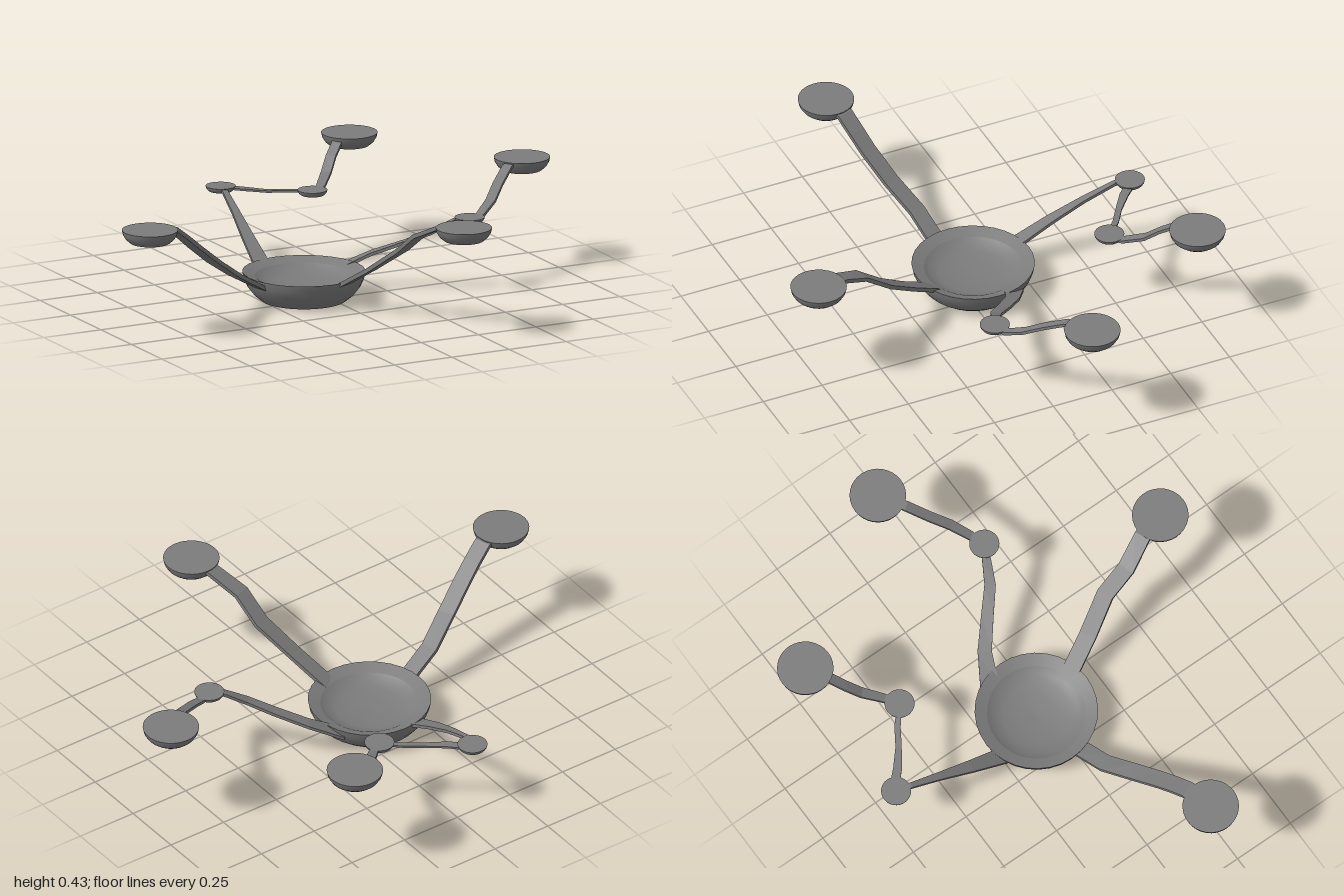
import * as THREE from 'three';

const COLOR = 0x7c7c7c;
const material = new THREE.MeshStandardMaterial({ color: COLOR, side: THREE.DoubleSide });
const flatMaterial = new THREE.MeshStandardMaterial({ color: COLOR, side: THREE.DoubleSide, flatShading: true });

function lathe(name, profile, sides) {
  const points = profile.map(([r, y]) => new THREE.Vector2(r, y));
  const mesh = new THREE.Mesh(new THREE.LatheGeometry(points, sides), material);
  mesh.name = name;
  return mesh;
}

// Shallow cup: curved wall, open underneath, closed by a flat lid
function cup(name, x, z, top, radius, base, height) {
  const group = new THREE.Group();
  const at = (t, y) => [base + (radius - base) * t, y * height];
  group.add(lathe('cupWall', [at(0, 0), at(0.55, 0.3), at(0.88, 0.65), at(1, 1)], 32));
  group.add(lathe('cupLid', [[radius, height], [0, height]], 32));
  group.position.set(x, top - height, z);
  group.name = name;
  return group;
}

// Flat strap with a rectangular section; each station is [x, y, z, width]
function strap(name, stations, thickness) {
  const pts = stations.map(([x, y, z]) => new THREE.Vector3(x, y, z));
  const up = new THREE.Vector3(0, 1, 0);
  const pos = [], index = [];
  pts.forEach((p, i) => {
    const tangent = pts[Math.min(i + 1, pts.length - 1)].clone().sub(pts[Math.max(i - 1, 0)]).normalize();
    const side = tangent.clone().cross(up).normalize();
    const normal = side.clone().cross(tangent);
    for (const [s, n] of [[-1, -1], [1, -1], [1, 1], [-1, 1]]) {
      const v = p.clone()
        .addScaledVector(side, s * stations[i][3] / 2)
        .addScaledVector(normal, n * thickness / 2);
      pos.push(v.x, v.y, v.z);
    }
  });
  for (let i = 0; i < pts.length - 1; i++) {
    for (let k = 0; k < 4; k++) {
      const a = i * 4 + k, b = i * 4 + (k + 1) % 4;
      index.push(a, b, b + 4, a, b + 4, a + 4);
    }
  }
  const e = (pts.length - 1) * 4;
  index.push(0, 2, 1, 0, 3, 2, e, e + 1, e + 2, e, e + 2, e + 3);
  const geometry = new THREE.BufferGeometry();
  geometry.setAttribute('position', new THREE.Float32BufferAttribute(pos, 3));
  geometry.setIndex(index);
  geometry.computeVertexNormals();
  const mesh = new THREE.Mesh(geometry, flatMaterial);
  mesh.name = name;
  return mesh;
}

export function createModel() {
  const model = new THREE.Group();
  model.name = 'branchingCupStand';

  // Central bowl: open-bottomed wall, sloping rim and a dished floor
  const bowl = new THREE.Group();
  bowl.name = 'centralBowl';
  bowl.add(lathe('bowlWall', [[0.167, 0], [0.197, 0.025], [0.22, 0.055], [0.233, 0.085], [0.238, 0.11]], 32));
  bowl.add(lathe('bowlRim', [[0.238, 0.11], [0.19, 0.092]], 32));
  bowl.add(lathe('bowlDish', [[0.19, 0.092], [0.165, 0.075], [0.13, 0.064], [0.07, 0.056], [0, 0.054]], 32));
  bowl.position.set(-0.087, 0, -0.05);
  model.add(bowl);

  // Large cups at the ends of the branches
  [['rightCup', -0.892, 0.2], ['frontCup', 0.192, 0.738], ['leftCup', 0.892, -0.1], ['backCup', 0.479, -0.74]]
    .forEach(([name, x, z]) => model.add(cup(name, x, z, 0.432, 0.109, 0.077, 0.05)));

  // Small cups at the joints
  [['leftJoint', 0.532, 0.147], ['backInnerJoint', 0.19, -0.5], ['backOuterJoint', -0.094, -0.72]]
    .forEach(([name, x, z]) => model.add(cup(name, x, z, 0.294, 0.058, 0.045, 0.02)));

  // Broad single arms
  model.add(strap('rightArm', [
    [-0.285, 0.073, 0.0, 0.068], [-0.43, 0.155, 0.03, 0.068], [-0.55, 0.235, 0.085, 0.068],
    [-0.66, 0.32, 0.13, 0.068], [-0.72, 0.37, 0.15, 0.068], [-0.785, 0.42, 0.17, 0.068], [-0.82, 0.421, 0.18, 0.068]], 0.016));
  model.add(strap('frontArm', [
    [-0.035, 0.085, 0.14, 0.068], [0.03, 0.178, 0.28, 0.068], [0.097, 0.278, 0.41, 0.068],
    [0.112, 0.36, 0.52, 0.068], [0.165, 0.42, 0.635, 0.064], [0.178, 0.421, 0.67, 0.064]], 0.016));

  // Left branch in two lengths
  model.add(strap('leftInnerArm', [
    [0.1, 0.075, -0.135, 0.075], [0.22, 0.137, -0.075, 0.055], [0.32, 0.188, 0.01, 0.048],
    [0.4, 0.233, 0.08, 0.044], [0.48, 0.28, 0.12, 0.034], [0.5, 0.284, 0.13, 0.03]], 0.012));
  model.add(strap('leftOuterArm', [
    [0.56, 0.284, 0.138, 0.03], [0.59, 0.289, 0.125, 0.035], [0.66, 0.327, 0.08, 0.04],
    [0.72, 0.372, 0.025, 0.04], [0.795, 0.421, -0.035, 0.04], [0.825, 0.422, -0.055, 0.035]], 0.012));

  // Back branch in three lengths
  model.add(strap('backInnerArm', [
    [-0.157, 0.085, -0.25, 0.068], [-0.143, 0.165, -0.4, 0.05], [-0.125, 0.232, -0.535, 0.032],
    [-0.107, 0.285, -0.66, 0.022], [-0.103, 0.286, -0.68, 0.02]], 0.012));
  model.add(strap('backMiddleArm', [
    [-0.06, 0.286, -0.7, 0.036], [-0.02, 0.285, -0.66, 0.034], [0.05, 0.281, -0.605, 0.024],
    [0.12, 0.284, -0.56, 0.024], [0.155, 0.286, -0.53, 0.022]], 0.008));
  model.add(strap('backOuterArm', [
    [0.215, 0.284, -0.515, 0.03], [0.243, 0.289, -0.535, 0.035], [0.303, 0.323, -0.6, 0.04],
    [0.348, 0.372, -0.645, 0.04], [0.404, 0.421, -0.69, 0.04], [0.425, 0.422, -0.705, 0.035]], 0.012));

  return model;
}
